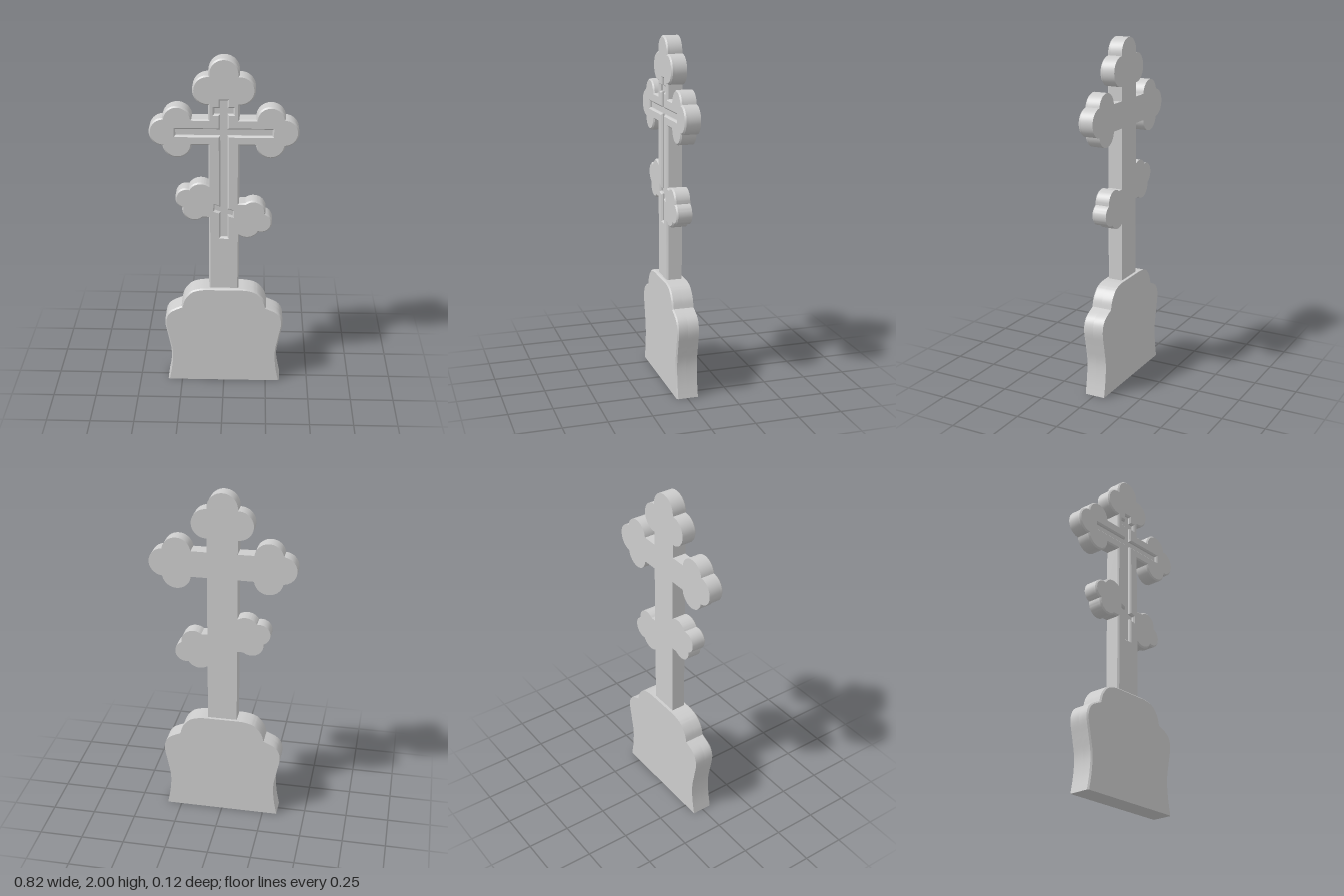
import * as THREE from 'three';
import { toCreasedNormals } from 'three/addons/utils/BufferGeometryUtils.js';

const BEVEL = 0.008;
const V = (x, y) => new THREE.Vector2(x, y);
const mirrorX = (pts) => pts.map((p) => V(-p.x, p.y)).reverse();

// Where two neighbouring lobes meet, on the outer side
function meet([ax, ay, ar], [bx, by, br]) {
  const d = Math.hypot(bx - ax, by - ay);
  const ux = (bx - ax) / d, uy = (by - ay) / d;
  const a = (ar * ar - br * br + d * d) / (2 * d);
  const h = Math.sqrt(ar * ar - a * a);
  return V(ax + a * ux + h * uy, ay + a * uy - h * ux);
}

// Counter-clockwise outline of a chain of round lobes [x, y, radius]
function lobes(circles, startDeg, endDeg) {
  const pts = [];
  circles.forEach((c, i) => {
    const angle = (p) => Math.atan2(p.y - c[1], p.x - c[0]);
    const from = i ? angle(meet(circles[i - 1], c)) : THREE.MathUtils.degToRad(startDeg);
    let to = i < circles.length - 1 ? angle(meet(c, circles[i + 1])) : THREE.MathUtils.degToRad(endDeg);
    while (to < from) to += 2 * Math.PI;
    const n = 20;
    for (let k = i ? 1 : 0; k <= n; k++) {
      const t = from + ((to - from) * k) / n;
      pts.push(V(c[0] + c[2] * Math.cos(t), c[1] + c[2] * Math.sin(t)));
    }
  });
  return pts;
}

function crossOutline() {
  const footrest = [
    ...lobes([[0.13, 1.026, 0.077], [0.21, 1.046, 0.062], [0.165, 1.11, 0.07]], -125.8, 130),
    V(0.085, 1.164),
  ];
  const arm = [
    V(0.085, 1.51),
    ...lobes([[0.256, 1.518, 0.081], [0.33, 1.585, 0.08], [0.256, 1.652, 0.081]], -174, 174),
    V(0.085, 1.66),
  ];
  const top = lobes([[0.088, 1.823, 0.083], [0, 1.915, 0.085], [-0.088, 1.823, 0.083]], -92, 272);
  return [
    V(0.085, 0.6), ...footrest, ...arm, ...top, ...mirrorX(arm),
    // the other half of the slanted bar is the same turned by 180 degrees
    ...footrest.map((p) => V(-p.x, 2.236 - p.y)),
    V(-0.085, 0.6),
  ];
}

// Sunken small cross: floor outline, clockwise down the right side
function recessOutline() {
  const w = 0.02;
  const right = [
    V(w, 1.766), V(w, 1.724), V(0.052, 1.724), V(0.052, 1.69), V(w, 1.69),
    V(w, 1.602), V(0.265, 1.602), V(0.265, 1.565), V(w, 1.565),
    V(w, 1.126), V(0.05, 1.116), V(0.05, 1.083), V(w, 1.092), V(w, 0.951),
  ];
  const left = [
    V(-w, 0.951), V(-w, 1.107), V(-0.052, 1.117), V(-0.052, 1.152), V(-w, 1.14),
    V(-w, 1.565), V(-0.265, 1.565), V(-0.265, 1.602), V(-w, 1.602),
    V(-w, 1.69), V(-0.052, 1.69), V(-0.052, 1.724), V(-w, 1.724), V(-w, 1.766),
  ];
  return [...right, ...left];
}

function baseOutline() {
  const spline = (...p) => new THREE.SplineCurve(p.map(([x, y]) => V(x, y))).getPoints(24);
  const right = [
    ...spline([0.335, 0], [0.317, 0.1], [0.312, 0.2], [0.329, 0.3], [0.346, 0.4], [0.321, 0.466], [0.248, 0.505]),
    ...spline([0.248, 0.505], [0.232, 0.556], [0.19, 0.604], [0.135, 0.622], [0.085, 0.625]).slice(1),
  ];
  return [...right, ...mirrorX(right)];
}

// Back slab with square edges
function plainSlab(outline, z0, z1) {
  const g = new THREE.ExtrudeGeometry(new THREE.Shape(outline), { depth: z1 - z0, bevelEnabled: false });
  return toCreasedNormals(g.translate(0, 0, z0), 0.5);
}

// Front slab with a chamfered front edge; its rear chamfer lies inside the back slab
function chamferedSlab(outline, z0, z1, hole) {
  const shape = new THREE.Shape(outline);
  if (hole) shape.holes.push(new THREE.Path(hole));
  const g = new THREE.ExtrudeGeometry(shape, {
    depth: z1 - z0 - BEVEL, bevelEnabled: true, bevelSegments: 1,
    bevelThickness: BEVEL, bevelSize: BEVEL, bevelOffset: -BEVEL,
  });
  g.translate(0, 0, z0);
  // keep the foot of the slab flat on the ground
  const pos = g.attributes.position;
  for (let i = 0; i < pos.count; i++) if (pos.getY(i) < BEVEL * 1.2) pos.setY(i, 0);
  return toCreasedNormals(g, 0.5);
}

export function createModel() {
  const stone = new THREE.MeshStandardMaterial({ color: 0xcccccc });
  stone.name = 'greyStone';
  const model = new THREE.Group();
  model.name = 'graveCross';
  const add = (name, geometry) => {
    const mesh = new THREE.Mesh(geometry, stone);
    mesh.name = name;
    model.add(mesh);
  };

  const cross = crossOutline();
  add('crossBack', plainSlab(cross, -0.045, 0.025));
  add('crossFrontWithRecess', chamferedSlab(cross, 0.025, 0.043, recessOutline()));

  const base = baseOutline();
  add('baseBack', plainSlab(base, -0.063, 0));
  add('baseFront', chamferedSlab(base, 0, 0.061));
  return model;
}
